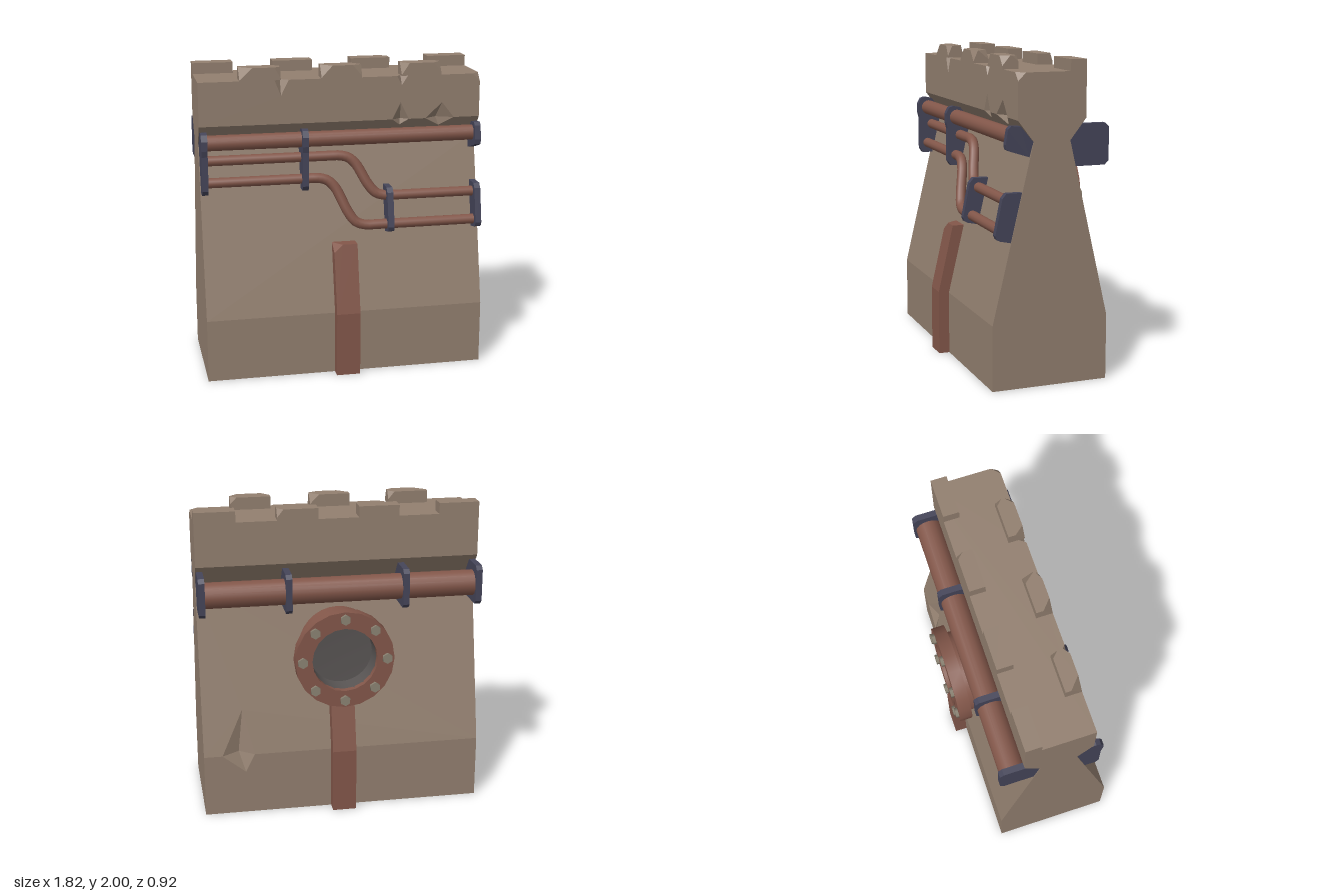
import * as THREE from 'three';
import { mergeGeometries, toCreasedNormals } from 'three/addons/utils/BufferGeometryUtils.js';
import { ConvexGeometry } from 'three/addons/geometries/ConvexGeometry.js';

const V = (x, y, z) => new THREE.Vector3(x, y, z);
const W = 0.91; // half length of the wall
const NECK = 1.51, LIP = 1.64, TOP = 1.92, KNEE = 0.41;

// depth of the wall faces by height
const FRONT = [[0, 0.39], [KNEE, 0.39], [NECK, 0.13], [LIP, 0.23], [TOP, 0.23]];
const BACK = [[0, -0.36], [KNEE, -0.36], [NECK, -0.105], [LIP, -0.207], [TOP, -0.207]];
function depth(profile, y) {
  for (let i = 1; i < profile.length; i++) {
    const [y0, z0] = profile[i - 1], [y1, z1] = profile[i];
    if (y <= y1 + 1e-6) return z0 + (z1 - z0) * (y - y0) / (y1 - y0);
  }
  return profile[profile.length - 1][1];
}

const shapeOf = pts => new THREE.Shape(pts.map(p => new THREE.Vector2(p[0], p[1])));

// flat strip of wall, outlined in x and y
function strip(pts, profile) {
  const g = new THREE.ShapeGeometry(shapeOf(pts)), p = g.attributes.position;
  for (let i = 0; i < p.count; i++) p.setZ(i, depth(profile, p.getY(i)));
  if (profile === BACK) g.index.array.reverse();
  return g;
}

// fan of faces from a rim down to one inner point
function gouge(rim, inner, profile, closed) {
  const out = [], ring = rim.map(([x, y]) => V(x, y, depth(profile, y)));
  const n = closed ? ring.length : ring.length - 1;
  for (let i = 0; i < n; i++) out.push(ring[i], ring[(i + 1) % ring.length], V(...inner));
  return new THREE.BufferGeometry().setFromPoints(out);
}

// block with some corners cut off; chips = [sx, sz, dx, dy, dz] on top corners
function chippedBlock(x0, x1, y0, y1, z0, z1, chips = []) {
  const pts = [];
  for (const sx of [-1, 1]) for (const sz of [-1, 1]) {
    const x = sx < 0 ? x0 : x1, z = sz < 0 ? z0 : z1;
    pts.push(V(x, y0, z));
    const c = chips.find(k => k[0] === sx && k[1] === sz);
    if (c) pts.push(V(x - sx * c[2], y1, z), V(x, y1 - c[3], z), V(x, y1, z - sz * c[4]));
    else pts.push(V(x, y1, z));
  }
  return new ConvexGeometry(pts);
}

// plate outlined in z and y, extruded along x around xc
function plate(outline, xc, width) {
  const g = new THREE.ExtrudeGeometry(shapeOf(outline.map(([z, y]) => [-z, y])), { depth: width, bevelEnabled: false });
  return g.rotateY(Math.PI / 2).translate(xc - width / 2, 0, 0);
}

export function createModel() {
  const root = new THREE.Group();
  const mat = (name, color, extra = {}) => Object.assign(new THREE.MeshStandardMaterial({ color, ...extra }), { name });
  const stone = mat('stone', 0x927f6f, { side: THREE.DoubleSide });
  const rust = mat('rustyMetal', 0x83574a);
  const iron = mat('darkIron', 0x454559);
  const bore = mat('darkBore', 0x585453, { side: THREE.DoubleSide });
  const boltMat = mat('boltMetal', 0x8b8373);
  const add = (name, g, m, parent = root) => {
    const mesh = new THREE.Mesh(g, m);
    mesh.name = name;
    parent.add(mesh);
    return mesh;
  };

  // wall shell, open below
  const lipA = [[0.33, LIP], [0.385, 1.75], [0.44, LIP]], lipB = [[0.55, LIP], [0.66, 1.74], [0.74, LIP]];
  const rimA = [[0.43, TOP], [0.39, 1.86], [0.36, TOP]], rimB = [[-0.34, TOP], [-0.39, 1.82], [-0.43, TOP]];
  const rect = (y0, y1) => [[-W, y0], [W, y0], [W, y1], [-W, y1]];
  const faces = [
    strip(rect(0, KNEE), FRONT), strip(rect(KNEE, NECK), FRONT),
    strip([[-W, NECK], [W, NECK], [W, LIP], lipB[2], [0.65, 1.585], lipB[0], lipA[2], [0.385, 1.6], lipA[0], [-W, LIP]], FRONT),
    strip([[-W, LIP], ...lipA, ...lipB, [W, LIP], [W, 1.87], [0.86, TOP], ...rimA, ...rimB, [-W, TOP]], FRONT),
    strip([[-W, 0], [W, 0], [W, KNEE], [0.79, KNEE], [0.64, 0.29], [0.58, KNEE], [-W, KNEE]], BACK),
    strip([[-W, KNEE], [0.58, KNEE], [0.65, 0.7], [0.79, KNEE], [W, KNEE], [W, NECK], [-W, NECK]], BACK),
    strip(rect(NECK, LIP), BACK), strip(rect(LIP, TOP), BACK),
    // chips and cracks
    gouge([...lipA, [0.385, 1.6]], [0.39, LIP, 0.19], FRONT, true),
    gouge([...lipB, [0.65, 1.585]], [0.63, LIP, 0.18], FRONT, true),
    gouge(rimA, [0.39, TOP, 0.19], FRONT), gouge(rimB, [-0.39, TOP, 0.19], FRONT),
    gouge([[0.58, KNEE], [0.65, 0.7], [0.79, KNEE], [0.64, 0.29]], [0.68, 0.42, -0.31], BACK, true),
    new THREE.BufferGeometry().setFromPoints([V(W, 1.87, 0.23), V(W, TOP, 0.18), V(0.86, TOP, 0.23)]),
    // top face
    new THREE.ShapeGeometry(shapeOf([[-W, -0.23], [-0.43, -0.23], [-0.39, -0.19], [-0.34, -0.23], [0.36, -0.23],
      [0.39, -0.19], [0.43, -0.23], [0.86, -0.23], [W, -0.18], [W, 0.207], [-W, 0.207]])).rotateX(-Math.PI / 2).translate(0, TOP, 0),
  ];
  // end faces
  const lower = FRONT.slice(0, -1).map(([y, z]) => [z, y]), rear = BACK.map(([y, z]) => [z, y]).reverse();
  const endR = [...lower, [0.23, 1.87], [0.18, TOP], ...rear], endL = [...lower, [0.23, TOP], ...rear];
  faces.push(
    new THREE.ShapeGeometry(shapeOf(endR.map(([z, y]) => [-z, y]))).rotateY(Math.PI / 2).translate(W, 0, 0),
    new THREE.ShapeGeometry(shapeOf(endL)).rotateY(-Math.PI / 2).translate(-W, 0, 0));
  const shell = mergeGeometries(faces.map(f => {
    const g = f.index ? f.toNonIndexed() : f;
    g.deleteAttribute('uv');
    g.deleteAttribute('normal');
    return g;
  }));
  shell.computeVertexNormals();
  add('wall', shell, stone);

  // battlements: three in front, four behind
  const frontChips = [
    [[-1, 1, 0.08, 0.075, 0.07], [1, 1, 0.04, 0.07, 0.03], [1, -1, 0.04, 0.05, 0.04]],
    [[-1, 1, 0.07, 0.075, 0.06], [1, -1, 0.06, 0.06, 0.07], [1, 1, 0.06, 0.07, 0.03]],
    [[-1, 1, 0.05, 0.075, 0.06], [1, -1, 0.04, 0.04, 0.04], [1, 1, 0.05, 0.06, 0.05]],
  ];
  frontChips.forEach((chips, i) => {
    const x = (i - 1) * 0.52;
    add('frontMerlon', chippedBlock(x - 0.13, x + 0.13, TOP, 2, 0.125, 0.23, chips), stone);
  });
  for (let i = 0; i < 4; i++) {
    const x = (i - 1.5) * 0.52;
    add('backMerlon', chippedBlock(x - 0.13, x + 0.13, TOP, 1.99, -0.207, -0.105,
      i === 2 ? [[1, -1, 0.04, 0.05, 0.04]] : []), stone);
  }

  // rib running up both sides and through the base, one corner chipped
  const rib = [];
  for (const x of [-0.077, 0.077]) {
    for (const [z, y] of [[0.46, 0], [0.46, 0.42], [0.2, 0.86], [-0.35, 0.79], [-0.44, 0.42], [-0.44, 0]]) rib.push(V(x, y, z));
  }
  rib.push(V(0.077, 0.86, 0.36), V(-0.02, 0.86, 0.36), V(-0.077, 0.86, 0.29), V(-0.077, 0.81, 0.371));
  add('rib', new ConvexGeometry(rib), rust);

  // front pipes
  const straight = (name, r, y, z) => add(name, new THREE.CylinderGeometry(r, r, 1.78, 16).rotateZ(Math.PI / 2).translate(0, y, z), rust);
  straight('upperPipe', 0.05, 1.535, 0.225);
  const bentPipe = (xb, ya, yb) => {
    const bend = [[0, 0], [0.06, 0.05], [0.11, 0.2], [0.19, 0.72], [0.24, 0.93], [0.31, 1]]
      .map(([dx, t]) => [xb + dx, ya + (yb - ya) * t]);
    const path = [[-0.89, ya], [xb - 0.05, ya], ...bend, [xb + 0.36, yb], [0.89, yb]];
    const curve = new THREE.CatmullRomCurve3(path.map(([x, y]) => V(x, y, depth(FRONT, y) + 0.05)), false, 'centripetal');
    add('bentPipe', new THREE.TubeGeometry(curve, 64, 0.033, 12), rust);
  };
  bentPipe(-0.02, 1.415, 1.15);
  bentPipe(-0.16, 1.28, 0.97);

  // back pipe
  straight('backPipe', 0.083, 1.475, -0.267);

  // brackets
  const longBracket = [[0.3, 1.5], [0.3, 1.56], [0.28, 1.6], [0.25, 1.61], [0.2, 1.6], [0.13, 1.51], [0.2, 1.21], [0.27, 1.21], [0.29, 1.24], [0.29, 1.46]];
  const shortBracket = [[0.305, 1.5], [0.29, 1.59], [0.27, 1.61], [0.21, 1.605], [0.13, 1.51], [0.155, 1.42], [0.28, 1.46], [0.3, 1.47]];
  const lowBracket = [[0.37, 0.96], [0.325, 1.18], [0.3, 1.21], [0.2, 1.21], [0.27, 0.91], [0.34, 0.925], [0.36, 0.935]];
  const backBracket = [[-0.1, 1.51], [-0.16, 1.605], [-0.335, 1.605], [-0.36, 1.58], [-0.36, 1.375], [-0.335, 1.35], [-0.13, 1.35]];
  const brackets = [['longBracket', longBracket, [-0.885, -0.245]], ['shortBracket', shortBracket, [0.885]],
    ['lowBracket', lowBracket, [0.3, 0.885]], ['backBracket', backBracket, [-0.885, -0.41, 0.34, 0.885]]];
  for (const [name, outline, xs] of brackets) for (const x of xs) add(name, plate(outline, x, 0.04), iron);

  // round outlet on the back; its axis points to -z
  const outlet = new THREE.Group();
  outlet.name = 'outlet';
  outlet.position.y = 1.055;
  root.add(outlet);
  const turn = (pts, n) => toCreasedNormals(new THREE.LatheGeometry(pts.map(p => new THREE.Vector2(...p)), n), 0.5).rotateX(-Math.PI / 2);
  add('sleeve', turn([[0.268, 0.08], [0.268, 0.365]], 32), rust, outlet);
  add('flange', turn([[0.26, 0.36], [0.32, 0.36], [0.32, 0.443], [0.21, 0.443], [0.21, 0.4]], 20), rust, outlet);
  add('bore', turn([[0.212, 0.442], [0.205, 0.28], [0, 0.27]], 32), bore, outlet);
  for (let i = 0; i < 8; i++) {
    const a = i * Math.PI / 4;
    add('bolt', new THREE.CylinderGeometry(0.034, 0.034, 0.04, 6).toNonIndexed().rotateX(Math.PI / 2)
      .translate(Math.cos(a) * 0.272, Math.sin(a) * 0.272, -0.443), boltMat, outlet);
  }
  return root;
}
